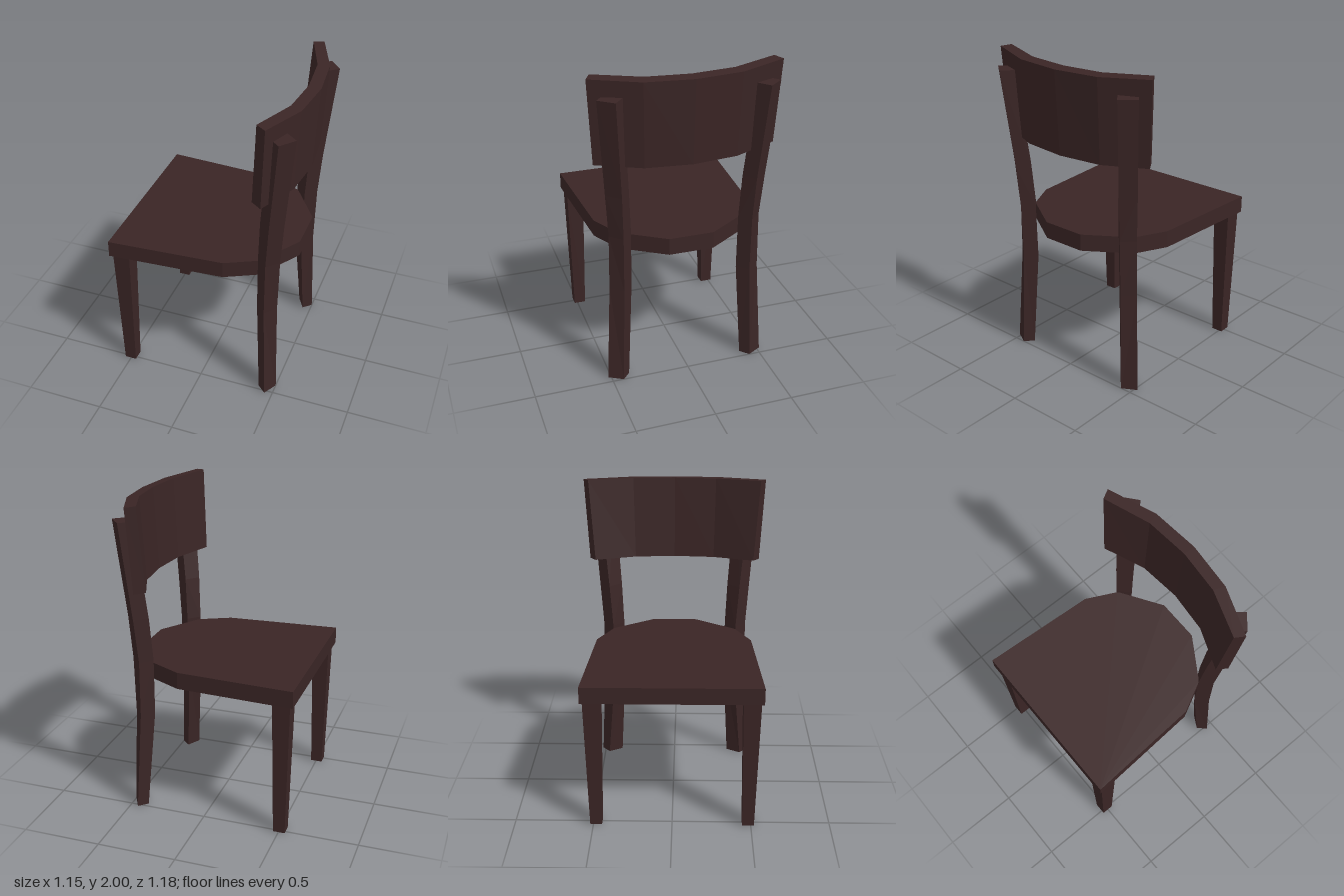
import * as THREE from 'three';

const darkWood = new THREE.MeshStandardMaterial({ color: 0x3a2525 });
darkWood.name = 'darkWood';

// Skins a row of matching convex rings and caps both ends, with flat faces turned outward
function loft(name, rings) {
  const tris = [];
  const n = rings[0].length;
  for (let i = 0; i + 1 < rings.length; i++) {
    for (let j = 0; j < n; j++) {
      const k = (j + 1) % n;
      const [a, b, c, d] = [rings[i][j], rings[i][k], rings[i + 1][k], rings[i + 1][j]];
      tris.push([a, b, c], [a, c, d]);
    }
  }
  const first = rings[0], last = rings[rings.length - 1];
  for (let j = 1; j + 1 < n; j++) {
    tris.push([first[0], first[j + 1], first[j]], [last[0], last[j], last[j + 1]]);
  }
  // Signed volume tells whether the faces point inward
  let volume = 0;
  for (const t of tris) {
    const [a, b, c] = t.map((p) => new THREE.Vector3(...p));
    volume += a.dot(b.cross(c));
  }
  if (volume < 0) tris.forEach((t) => t.reverse());

  const geometry = new THREE.BufferGeometry();
  geometry.setAttribute('position', new THREE.Float32BufferAttribute(tris.flat(2), 3));
  geometry.computeVertexNormals();
  const mesh = new THREE.Mesh(geometry, darkWood);
  mesh.name = name;
  return mesh;
}

export function createModel() {
  const chair = new THREE.Group();
  chair.name = 'chair';

  // Seat: wide straight front edge, faceted rounded back
  const half = [[-0.58, 0.555], [0.16, 0.51], [0.36, 0.41], [0.535, 0.14]];
  const outline = [...half, ...half.map(([x, z]) => [x, -z]).reverse()];
  chair.add(loft('seat', [0.875, 0.982].map((y) => outline.map(([x, z]) => [x, y, z]))));

  // Back legs: [y, then x,z of the rear, outer, front and inner corners]
  const backLevels = [
    [0, 0.5, 0.43, 0.45, 0.52, 0.395, 0.47, 0.445, 0.38],
    [0.64, 0.482, 0.41, 0.42, 0.487, 0.353, 0.415, 0.415, 0.345],
    [1.0, 0.49, 0.41, 0.42, 0.483, 0.352, 0.415, 0.422, 0.345],
    [1.28, 0.51, 0.42, 0.44, 0.503, 0.366, 0.435, 0.436, 0.357],
    [1.89, 0.57, 0.46, 0.495, 0.55, 0.423, 0.49, 0.498, 0.4],
  ];
  // Front legs: tapered, [y, x min, x max, z min, z max]
  const frontLevels = [[0, -0.54, -0.465, 0.445, 0.52], [0.88, -0.56, -0.45, 0.43, 0.54]];

  for (const [side, s] of [['Left', 1], ['Right', -1]]) {
    chair.add(loft('backLeg' + side, backLevels.map(([y, ...c]) =>
      [0, 2, 4, 6].map((i) => [c[i], y, s * c[i + 1]]))));
    chair.add(loft('frontLeg' + side, frontLevels.map(([y, x0, x1, z0, z1]) =>
      [[x0, y, s * z0], [x1, y, s * z0], [x1, y, s * z1], [x0, y, s * z1]])));
  }

  // Backrest: bowed, leaning panel; each station gives bottom and top, inner and outer corners
  const end = [[0.34, 1.475, 0.52], [0.37, 2.0, 0.555], [0.43, 1.994, 0.59], [0.405, 1.468, 0.56]];
  const mid = [[0.447, 1.465, 0.26], [0.475, 1.99, 0.27], [0.546, 1.983, 0.295], [0.518, 1.458, 0.285]];
  const centre = [[0.473, 1.463, 0], [0.5, 1.988, 0], [0.575, 1.98, 0], [0.548, 1.456, 0]];
  const mirror = (ring) => ring.map(([x, y, z]) => [x, y, -z]);
  chair.add(loft('backrest', [end, mid, centre, mirror(mid), mirror(end)]));

  return chair;
}
